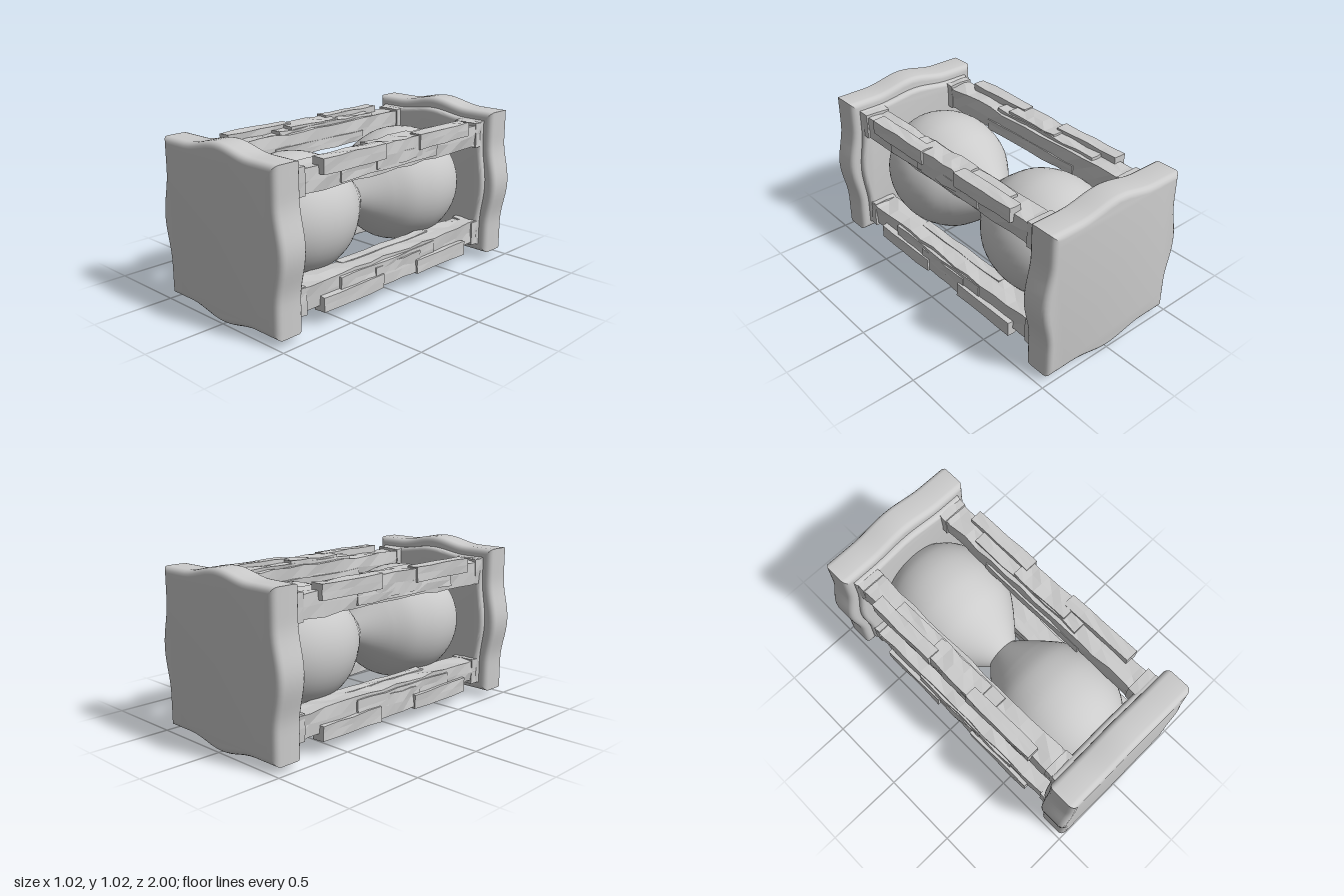
import * as THREE from 'three';
import { toCreasedNormals } from 'three/addons/utils/BufferGeometryUtils.js';

const CX = -0.01, CY = 0.51;
const grey = new THREE.MeshStandardMaterial({ color: 0xcccccc, side: THREE.DoubleSide });
const woodGrey = new THREE.MeshStandardMaterial({ color: 0xcccccc, flatShading: true });

function mesh(name, geometry, material = grey) {
  const m = new THREE.Mesh(geometry, material);
  m.name = name;
  return m;
}

// repeatable noise in -1..1
function noise(a, b, c) {
  const s = Math.sin(a * 127.1 + b * 311.7 + c * 74.7) * 43758.5453;
  return 2 * (s - Math.floor(s)) - 1;
}

// square outline whose four sides swell in the middle
function plateShape(half, swell) {
  const pts = [];
  const n = 24;
  for (let side = 0; side < 4; side++) {
    const a = side * Math.PI / 2;
    for (let i = 0; i < n; i++) {
      const t = -half + 2 * half * i / n;
      const bump = Math.abs(t) < 0.28 ? swell * Math.cos(Math.PI * t / 0.56) ** 2 : 0;
      const u = half + bump;
      pts.push(new THREE.Vector2(u * Math.cos(a) - t * Math.sin(a), u * Math.sin(a) + t * Math.cos(a)));
    }
  }
  return new THREE.Shape(pts);
}

// rounded slab from z0 to z1
function slab(half, swell, z0, z1, bevel) {
  const g = new THREE.ExtrudeGeometry(plateShape(half, swell), {
    depth: z1 - z0 - 2 * bevel, bevelEnabled: true, bevelThickness: bevel,
    bevelSize: bevel, bevelOffset: -bevel, bevelSegments: 4,
  });
  g.translate(0, 0, z0 + bevel);
  return toCreasedNormals(g, 0.6);
}

// rough timber: a box whose shared corners are nudged
function timber(x0, x1, y0, y1, z0, z1, segments, rough, seed) {
  const g = new THREE.BoxGeometry(x1 - x0, y1 - y0, z1 - z0, 2, 2, segments);
  const p = g.attributes.position;
  for (let i = 0; i < p.count; i++) {
    const x = p.getX(i), y = p.getY(i), z = p.getZ(i);
    const kx = Math.round(x * 100), ky = Math.round(y * 100), kz = Math.round(z * 100) + seed * 13;
    p.setXYZ(i, x + rough * noise(kx, ky, kz), y + rough * noise(ky, kz, kx + 5), z);
  }
  g.translate((x0 + x1) / 2, (y0 + y1) / 2, (z0 + z1) / 2);
  g.computeVertexNormals();
  return g;
}

// post with split planks on its outer corner, x and y pointing outward
function createPost(sx, sy, index) {
  const post = new THREE.Group();
  post.name = 'cornerPost' + (index + 1);
  const parts = [
    ['postCore', 0.255, 0.405, 0.255, 0.395, -0.82, 0.82, 14, 0.008],
    ['outerPlankFront', 0.355, 0.435, 0.345, 0.435, 0.14, 0.63, 4, 0.004],
    ['outerPlankBack', 0.355, 0.435, 0.345, 0.435, -0.63, -0.16, 4, 0.004],
    ['middlePlank', 0.285, 0.422, 0.295, 0.425, -0.2, 0.2, 5, 0.006],
    ['upperSplinter', 0.28, 0.37, 0.34, 0.412, -0.52, 0.3, 7, 0.006],
    ['sideSplinter', 0.345, 0.418, 0.275, 0.36, -0.34, 0.48, 7, 0.006],
    ['innerSplinter', 0.248, 0.31, 0.25, 0.32, -0.4, 0.36, 6, 0.004],
    ['frontCollar', 0.25, 0.41, 0.25, 0.41, 0.74, 0.82, 1, 0.006],
    ['backCollar', 0.25, 0.41, 0.25, 0.41, -0.82, -0.74, 1, 0.006],
  ];
  parts.forEach(([name, x0, x1, y0, y1, z0, z1, segs, rough], k) => {
    const xs = [sx * x0, sx * x1].sort((a, b) => a - b);
    const ys = [sy * y0, sy * y1].sort((a, b) => a - b);
    post.add(mesh(name, timber(...xs, ...ys, z0, z1, segs, rough, index * 10 + k), woodGrey));
  });
  return post;
}

export function createModel() {
  const model = new THREE.Group();
  model.name = 'hourglass';
  const body = new THREE.Group();
  body.name = 'hourglassBody';
  body.position.set(CX, CY, 0);
  model.add(body);

  // end plates with a raised pad on the inner face
  for (const [name, turn] of [['front', 0], ['back', Math.PI]]) {
    const end = new THREE.Group();
    end.name = name + 'End';
    end.add(mesh('endPlate', slab(0.47, 0.042, 0.815, 1, 0.035)));
    end.add(mesh('innerPad', slab(0.415, 0.03, 0.78, 0.86, 0.025)));
    end.rotation.y = turn;
    body.add(end);
  }

  // glass bulbs meeting at a narrow neck
  const neck = [[0.11, 0], [0.165, 0.06], [0.235, 0.14]].map(([r, z]) => new THREE.Vector2(r, z));
  const curve = new THREE.SplineCurve([
    [0.235, 0.14], [0.315, 0.25], [0.357, 0.37], [0.368, 0.48],
    [0.35, 0.6], [0.3, 0.71], [0.22, 0.8],
  ].map(([r, z]) => new THREE.Vector2(r, z)));
  const profile = [...neck.slice(0, 2), ...curve.getPoints(24)];
  for (const [name, s] of [['frontBulb', 1], ['backBulb', -1]]) {
    const bulb = mesh(name, new THREE.LatheGeometry(profile, 48));
    bulb.rotation.x = s * Math.PI / 2;
    body.add(bulb);
  }

  // four corner posts
  [[1, 1], [-1, 1], [-1, -1], [1, -1]].forEach(([sx, sy], i) => body.add(createPost(sx, sy, i)));

  return model;
}
